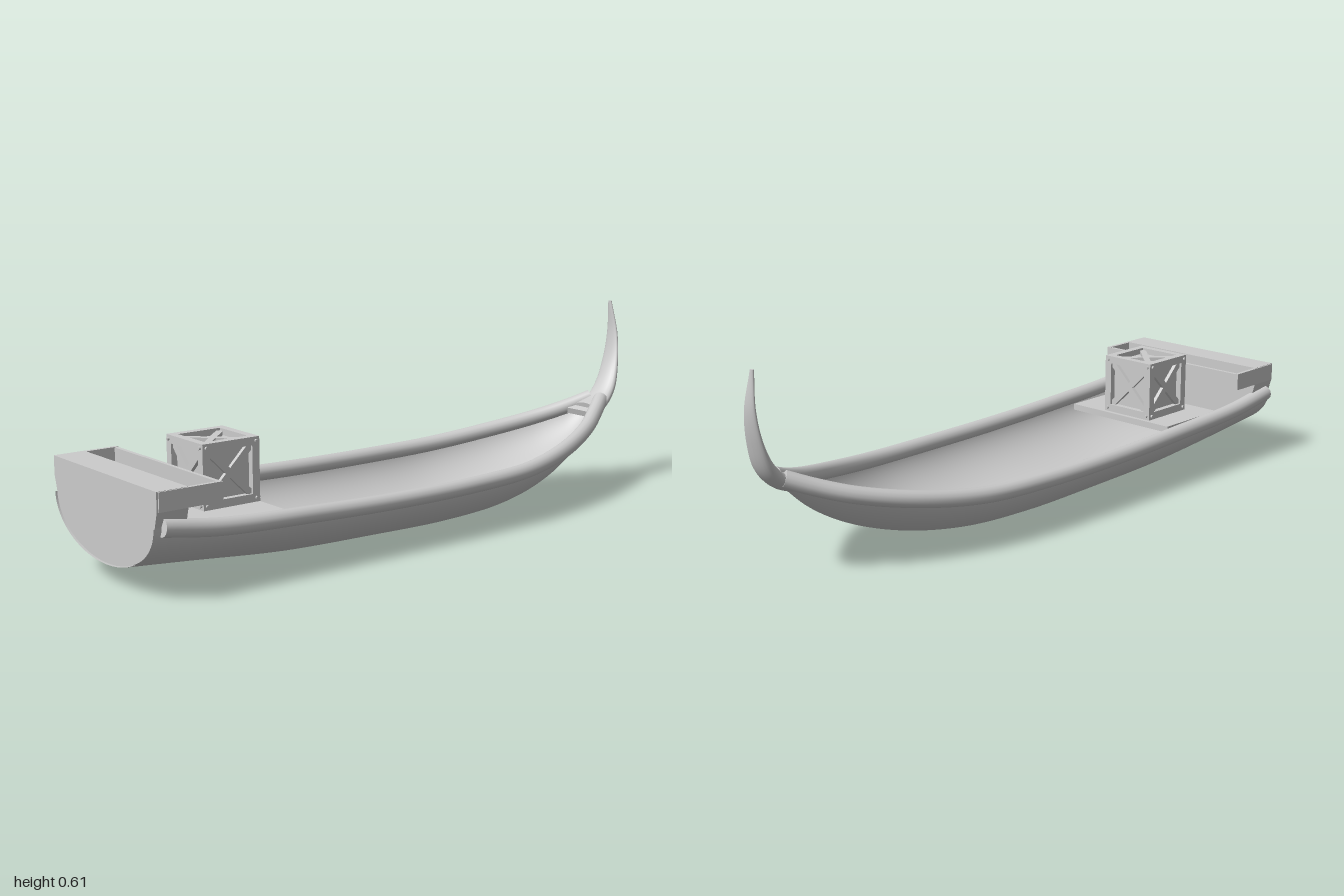
import * as THREE from 'three';

const V = (x, y, z = 0) => new THREE.Vector3(x, y, z);
const material = new THREE.MeshStandardMaterial({ color: 0xcccccc, side: THREE.DoubleSide });

function add(parent, geometry, name) {
  const mesh = new THREE.Mesh(geometry, material);
  mesh.name = name;
  parent.add(mesh);
  return mesh;
}

// Box given by its minimum and maximum corners
function box(parent, name, [x0, y0, z0], [x1, y1, z1]) {
  const mesh = add(parent, new THREE.BoxGeometry(x1 - x0, y1 - y0, z1 - z0), name);
  mesh.position.set((x0 + x1) / 2, (y0 + y1) / 2, (z0 + z1) / 2);
  return mesh;
}

// Smooth surface through a grid of points: point(u, v) with u, v in 0..1
function loft(nu, nv, point) {
  const geometry = new THREE.PlaneGeometry(1, 1, nu, nv);
  const p = geometry.attributes.position;
  for (let j = 0, k = 0; j <= nv; j++) {
    for (let i = 0; i <= nu; i++, k++) {
      const q = point(i / nu, j / nv);
      p.setXYZ(k, q.x, q.y, q.z);
    }
  }
  geometry.computeVertexNormals();
  return geometry;
}

// Matching stations along the rim (half breadth in z) and the keel
const rim = new THREE.CatmullRomCurve3([
  V(-1, 0.21, 0.266), V(-0.8, 0.184, 0.265), V(-0.5, 0.168, 0.264), V(-0.2, 0.158, 0.264),
  V(0.1, 0.157, 0.259), V(0.35, 0.165, 0.24), V(0.55, 0.191, 0.192), V(0.72, 0.228, 0.123),
  V(0.82, 0.262, 0.066), V(0.89, 0.292, 0.024),
]);
const keel = new THREE.CatmullRomCurve3([
  V(-1, 0.06), V(-0.8, 0.043), V(-0.5, 0.014), V(-0.2, 0.005),
  V(0.1, 0), V(0.32, 0.012), V(0.5, 0.046), V(0.66, 0.104),
  V(0.78, 0.175), V(0.87, 0.255),
]);

function hullPoint(u, v) {
  const a = u * Math.PI, s = Math.sin(a);
  const r = rim.getPoint(v), k = keel.getPoint(v);
  return V(r.x + (k.x - r.x) * s, r.y + (k.y - r.y) * s, r.z * Math.cos(a));
}

function buildHull(boat) {
  add(boat, loft(40, 70, hullPoint), 'hull');

  // Rounded rails along both edges
  for (const side of [1, -1]) {
    const path = new THREE.CatmullRomCurve3(
      rim.points.map((p) => V(Math.max(p.x, -0.975), p.y, p.z * side)));
    const rail = add(boat, new THREE.TubeGeometry(path, 90, 0.025, 14), 'rail');
    for (const t of [0, 1]) {
      const cap = add(rail, new THREE.CircleGeometry(0.025, 14), 'railEnd');
      cap.position.copy(path.getPoint(t));
      cap.lookAt(path.getPoint(t).addScaledVector(path.getTangent(t), t ? 1 : -1));
    }
  }

  // Small triangular deck between the rails at the bow
  const deck = new THREE.Shape([
    new THREE.Vector2(0.805, -0.06), new THREE.Vector2(0.9, -0.012),
    new THREE.Vector2(0.9, 0.012), new THREE.Vector2(0.805, 0.06)]);
  const bowDeck = add(boat, new THREE.ExtrudeGeometry(deck, { depth: 0.02, bevelEnabled: false }), 'bowDeck');
  bowDeck.rotation.set(-Math.PI / 2, -0.3, 0);
  bowDeck.position.set(0.04, 0.005, 0);
}

// Curved, tapering horn with the trailing edge leaning to one side
function buildProw(boat) {
  const outer = new THREE.CatmullRomCurve3([
    V(0.835, 0.235), V(0.9, 0.262), V(0.95, 0.315), V(0.982, 0.4), V(1, 0.5), V(0.994, 0.613)]);
  const inner = new THREE.CatmullRomCurve3([
    V(0.825, 0.285), V(0.88, 0.305), V(0.925, 0.35), V(0.963, 0.42), V(0.984, 0.51), V(0.985, 0.613)]);
  const breadth = new THREE.CatmullRomCurve3([
    V(0.066, -0.042), V(0.056, -0.043), V(0.044, -0.045), V(0.022, -0.048), V(-0.002, -0.048), V(-0.031, -0.044)]);
  const point = (u, v) => {
    const a = u * Math.PI * 2;
    const o = outer.getPoint(v), i = inner.getPoint(v), b = breadth.getPoint(v);
    const p = i.lerp(o, 0.5 + 0.5 * Math.cos(a));
    p.z = (b.x + b.y) / 2 + (b.x - b.y) / 2 * Math.sin(a);
    return p;
  };
  add(boat, loft(20, 40, point), 'prow');
  for (const t of [0, 1]) {
    const middle = outer.getPoint(t).lerp(inner.getPoint(t), 0.5);
    middle.z = (breadth.getPoint(t).x + breadth.getPoint(t).y) / 2;
    add(boat, loft(20, 1, (u, v) => point(u, t).lerp(middle, v)), 'prowEnd');
  }
}

function buildStern(boat) {
  const stern = new THREE.Group();
  stern.name = 'stern';
  boat.add(stern);

  // Thick transom following the hull section, squared off at the top
  const outline = [new THREE.Vector2(0.276, 0.31), new THREE.Vector2(0.276, 0.255)];
  for (let i = 0; i <= 28; i++) {
    const a = i / 28 * Math.PI;
    outline.push(new THREE.Vector2(0.264 * Math.cos(a), 0.212 - 0.15 * Math.sin(a)));
  }
  outline.push(new THREE.Vector2(-0.276, 0.255), new THREE.Vector2(-0.276, 0.31));
  const slab = new THREE.ExtrudeGeometry(new THREE.Shape(outline), { depth: 0.095, bevelEnabled: false });
  add(stern, slab.rotateY(Math.PI / 2).translate(-0.995, 0, 0), 'transom');

  // Open tray in front of the transom
  box(stern, 'trayFloor', [-0.9, 0.255, -0.28], [-0.795, 0.267, 0.28]);
  box(stern, 'trayFront', [-0.807, 0.255, -0.28], [-0.795, 0.308, 0.28]);
  for (const s of [1, -1]) {
    box(stern, 'trayEnd', [-0.99, 0.255, s * 0.274 - 0.006], [-0.795, 0.309, s * 0.274 + 0.006]);
  }
}

function buildCrate(boat) {
  box(boat, 'crateBoard', [-0.79, 0.15, -0.2], [-0.53, 0.17, 0.2]);

  const crate = new THREE.Group();
  crate.name = 'crate';
  crate.position.set(-0.63, 0.267, -0.025);
  boat.add(crate);
  const h = 0.094, t = 0.024, e = h - t / 2;
  add(crate, new THREE.BoxGeometry(0.15, 0.15, 0.15), 'cratePanel');

  // Twelve frame beams
  for (const a of [-e, e]) {
    for (const b of [-e, e]) {
      add(crate, new THREE.BoxGeometry(t, 2 * h, t), 'cratePost').position.set(a, 0, b);
      add(crate, new THREE.BoxGeometry(2 * h - 2 * t, t, t), 'crateBeam').position.set(0, a, b);
      add(crate, new THREE.BoxGeometry(t, t, 2 * h - 2 * t), 'crateBeam').position.set(a, b, 0);
    }
  }

  // Crossed braces and corner pegs on each face
  const turns = [[0, 0], [0, 1], [0, 2], [0, 3], [1, 0], [-1, 0]];
  for (const [rx, ry] of turns) {
    const face = new THREE.Group();
    face.name = 'crateFace';
    face.rotation.set(rx * Math.PI / 2, ry * Math.PI / 2, 0);
    crate.add(face);
    for (const s of [1, -1]) {
      const brace = add(face, new THREE.BoxGeometry(0.2, 0.02, 0.014), 'crateBrace');
      brace.position.z = 0.08;
      brace.rotation.z = s * Math.PI / 4;
      if (rx) continue;
      for (const y of [e, -e]) {
        const peg = add(face, new THREE.CylinderGeometry(0.005, 0.005, 0.008, 10), 'cratePeg');
        peg.rotation.x = Math.PI / 2;
        peg.position.set(s * e, y, h + 0.002);
      }
    }
  }
}

export function createModel() {
  const boat = new THREE.Group();
  boat.name = 'boat';
  buildHull(boat);
  buildProw(boat);
  buildStern(boat);
  buildCrate(boat);
  return boat;
}
